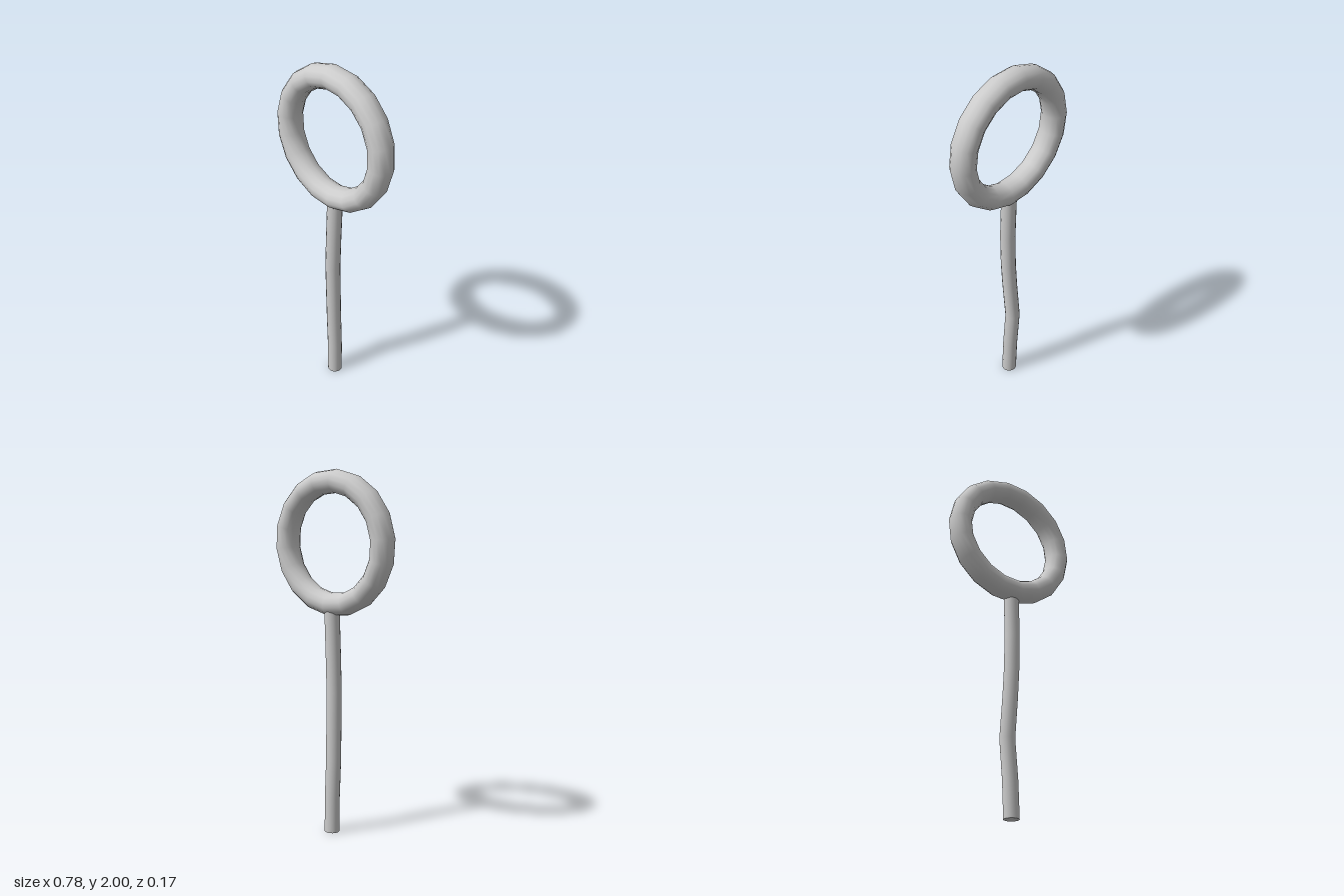
import * as THREE from 'three';

const material = new THREE.MeshStandardMaterial({ color: 0xcccccc });

// Slightly crooked pole: a cylinder whose rows follow a list of centres
function createPole() {
  const centres = [
    [0.01, 0, 0], [0.005, 0.2, -0.004], [-0.009, 0.42, -0.01], [0, 0.65, 0.004],
    [0.004, 0.8, 0.011], [0.009, 1, 0.01], [0.01, 1.25, 0],
  ];
  const rows = centres.length - 1;
  const geometry = new THREE.CylinderGeometry(0.042, 0.042, 1, 16, rows);
  const p = geometry.attributes.position;
  for (let i = 0; i < p.count; i++) {
    const [x, y, z] = centres[Math.round((p.getY(i) + 0.5) * rows)];
    p.setXYZ(i, p.getX(i) + x, y, p.getZ(i) + z);
  }
  const pole = new THREE.Mesh(geometry, material);
  pole.name = 'pole';
  return pole;
}

// Upright hoop of 18 segments, a little deeper than wide and leaning back
function createHoop() {
  const geometry = new THREE.TorusGeometry(0.33, 0.063, 14, 18);
  geometry.rotateZ(THREE.MathUtils.degToRad(15.5));
  geometry.scale(1, 1, 1.13);
  const hoop = new THREE.Mesh(geometry, material);
  hoop.name = 'hoop';
  hoop.position.set(0, 1.61, 0);
  hoop.rotation.set(-0.045, -0.015, 0);
  return hoop;
}

export function createModel() {
  const model = new THREE.Group();
  model.name = 'hoopOnPole';
  model.add(createPole(), createHoop());
  return model;
}
